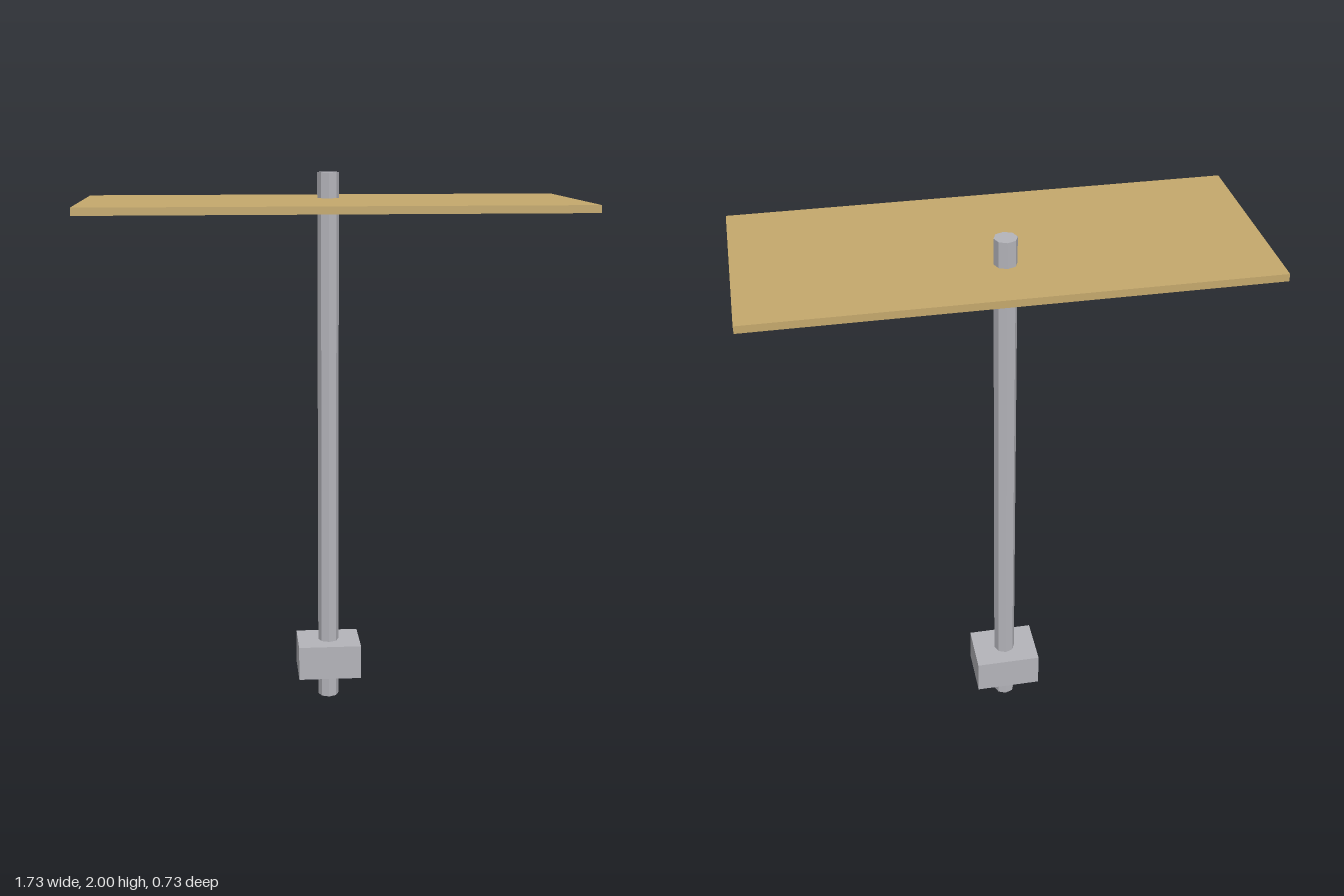
import * as THREE from 'three';

export function createModel() {
  const model = new THREE.Group();
  const metal = new THREE.MeshStandardMaterial({ color: 0xb4b4ba, flatShading: true });
  const wood = new THREE.MeshStandardMaterial({ color: 0xc4a86c, flatShading: true });
  const poleZ = -0.133;

  const add = (name, geometry, material, y, z) => {
    const mesh = new THREE.Mesh(geometry, material);
    mesh.name = name;
    mesh.position.set(0, y, z);
    model.add(mesh);
  };

  // Faceted pole running the full height
  add('pole', new THREE.CylinderGeometry(0.039, 0.039, 2, 8), metal, 1, poleZ);
  // Block clamped near the foot of the pole
  add('baseBlock', new THREE.BoxGeometry(0.237, 0.13, 0.185), metal, 0.161, poleZ);
  // Thin board that the pole passes through behind its centre
  add('board', new THREE.BoxGeometry(1.73, 0.026, 0.73), wood, 1.896, 0);

  return model;
}
